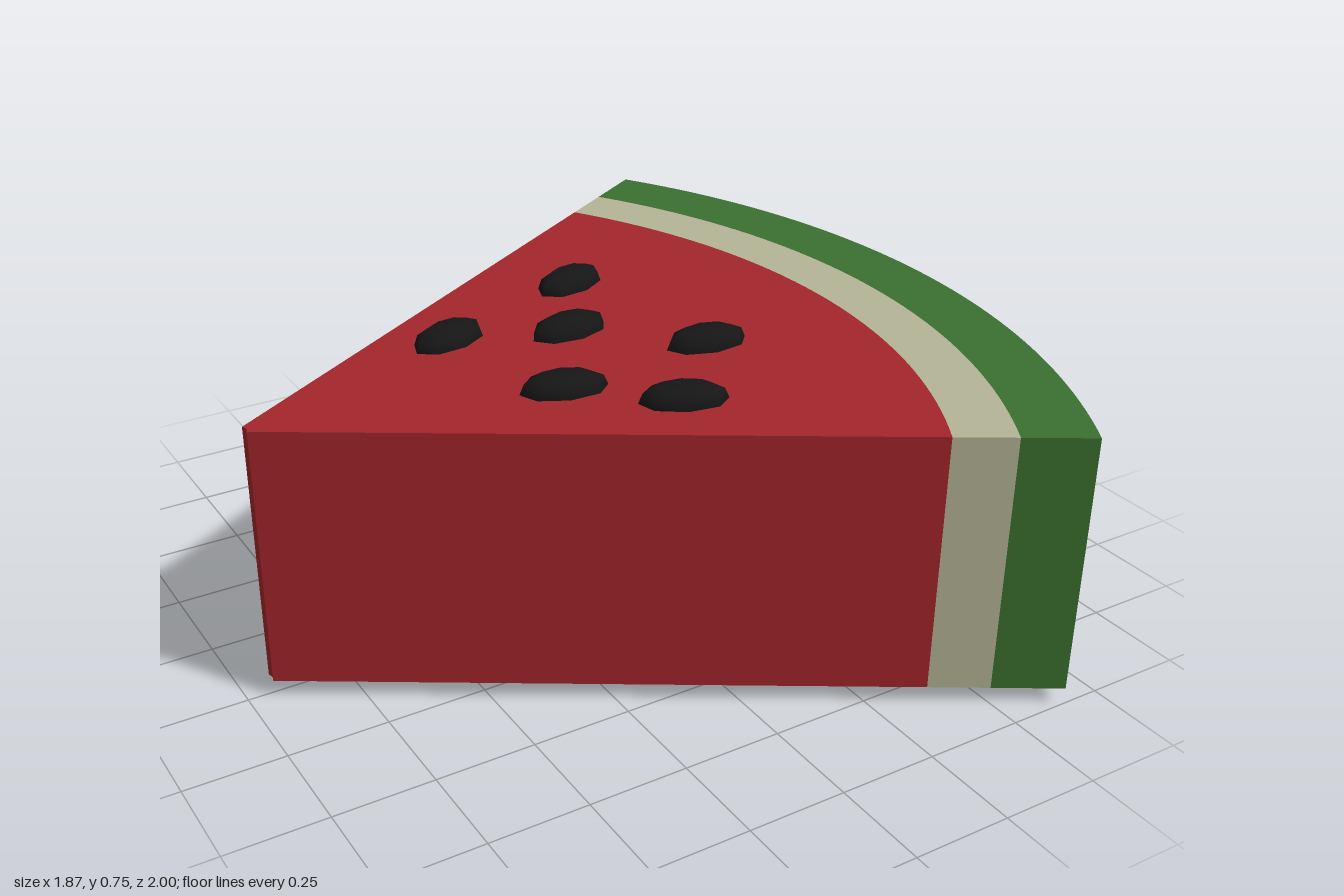
import * as THREE from 'three';
import { toCreasedNormals } from 'three/addons/utils/BufferGeometryUtils.js';

const APEX_X = -0.962;      // centre shared by all the arcs
const HALF_ANGLE = 0.555;   // half the opening of the wedge
const BOTTOM = 0.043, TOP = 0.705;

const paint = (color) => new THREE.MeshStandardMaterial({ color });

// Flat-topped ring sector between two radii
function sector(name, inner, outer, material) {
  const shape = new THREE.Shape();
  shape.absarc(0, 0, outer, -HALF_ANGLE, HALF_ANGLE, false);
  shape.absarc(0, 0, inner, HALF_ANGLE, -HALF_ANGLE, true);
  shape.closePath();
  const extruded = new THREE.ExtrudeGeometry(shape, {
    depth: TOP - BOTTOM, bevelEnabled: false, curveSegments: 24,
  });
  extruded.rotateX(-Math.PI / 2);
  const mesh = new THREE.Mesh(toCreasedNormals(extruded, 0.5), material);
  mesh.name = name;
  mesh.position.set(APEX_X, BOTTOM, 0);
  return mesh;
}

export function createModel() {
  const model = new THREE.Group();
  model.name = 'melonSlice';

  // Flesh, pale inner rind and green skin
  model.add(
    sector('flesh', 0.027, 1.572, paint(0xa3262b)),
    sector('innerRind', 1.572, 1.721, paint(0xb4b596)),
    sector('skin', 1.721, 1.897, paint(0x3b7030)),
  );

  // Low, eight-sided oval seed, half sunk into the flesh
  const profile = [[0, -1], [0.6, -0.94], [0.9, -0.6], [1, 0], [0.9, 0.6], [0.6, 0.94], [0, 1]]
    .map(([r, y]) => new THREE.Vector2(r, y));
  const seedGeometry = new THREE.LatheGeometry(profile, 8);
  seedGeometry.scale(0.106, 0.042, 0.06);
  const seedMaterial = paint(0x161616);

  // Seeds point at the tip and repeat on both cut faces
  const spots = [[-0.34, -0.2], [0.09, -0.36], [-0.06, -0.1],
    [-0.235, 0.185], [0.19, 0.135], [-0.03, 0.375]];
  for (const [side, y] of [['top', TOP], ['bottom', BOTTOM]]) {
    const seeds = new THREE.Group();
    seeds.name = side + 'Seeds';
    for (const [x, z] of spots) {
      const seed = new THREE.Mesh(seedGeometry, seedMaterial);
      seed.name = 'seed';
      seed.position.set(x, y, z);
      seed.rotation.y = -Math.atan2(z, x - APEX_X);
      seeds.add(seed);
    }
    model.add(seeds);
  }
  return model;
}
